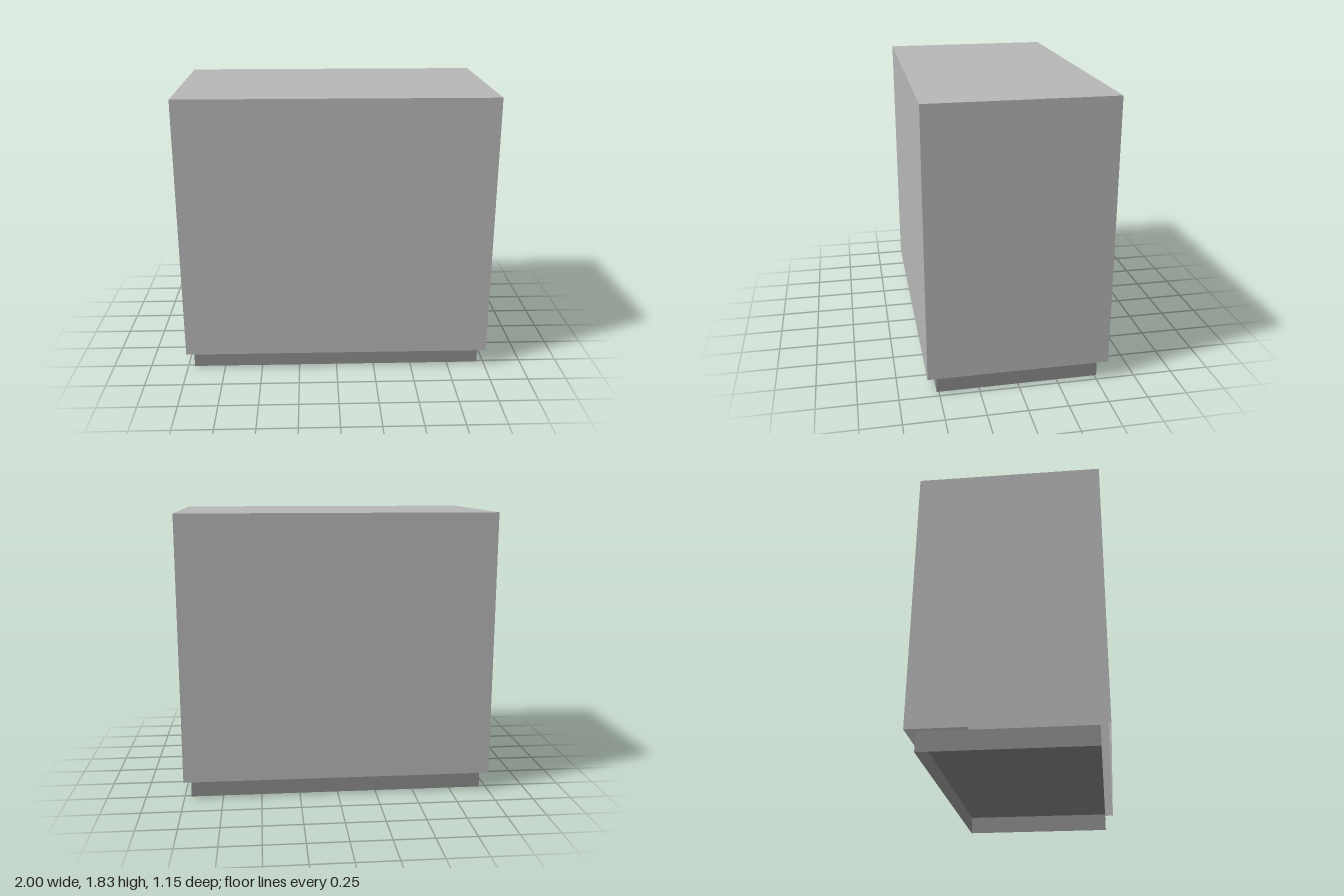
import * as THREE from 'three';

const bodyGrey = new THREE.MeshStandardMaterial({ color: 0xb8b8b8, side: THREE.DoubleSide });
bodyGrey.name = 'bodyGrey';
const plinthGrey = new THREE.MeshStandardMaterial({ color: 0x8e8e8e, side: THREE.DoubleSide });
plinthGrey.name = 'plinthGrey';

// A thin box shell without its underside
function openShell(name, width, height, depth, bottom, material) {
  const geometry = new THREE.BoxGeometry(width, height, depth);
  // Box faces come six indices each: +x, -x, +y, -y, +z, -z; leave out -y
  const index = Array.from(geometry.index.array);
  index.splice(18, 6);
  geometry.setIndex(index);
  geometry.clearGroups();
  geometry.translate(0, bottom + height / 2, 0);
  const mesh = new THREE.Mesh(geometry, material);
  mesh.name = name;
  return mesh;
}

export function createModel() {
  const model = new THREE.Group();
  model.name = 'cabinet';
  // Main body overhanging a recessed plinth, both open underneath
  model.add(openShell('body', 2, 1.708, 1.146, 0.12, bodyGrey));
  model.add(openShell('plinth', 1.912, 0.12, 1.028, 0, plinthGrey));
  return model;
}
